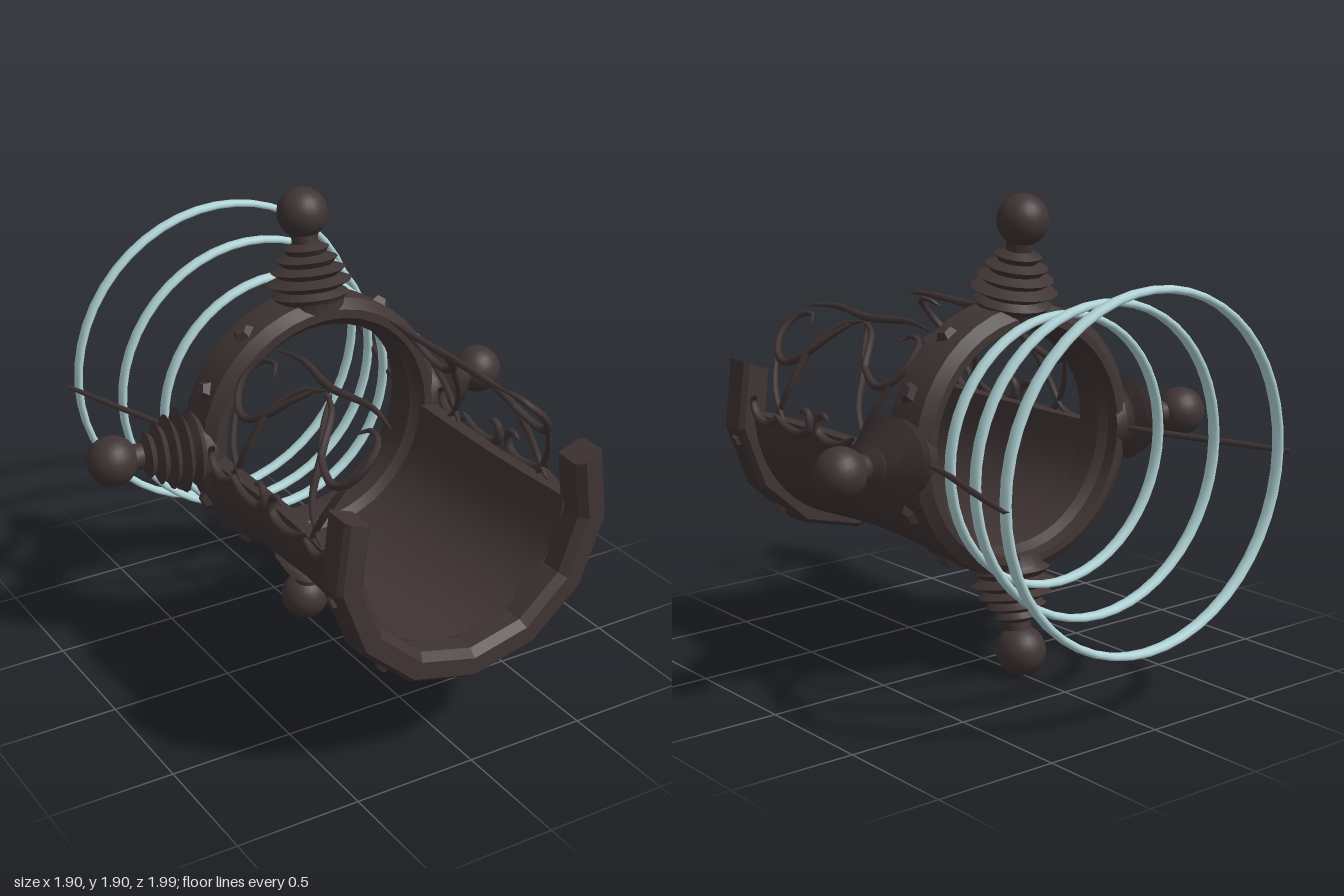
import * as THREE from 'three';
import { toCreasedNormals } from 'three/addons/utils/BufferGeometryUtils.js';

const CY = 0.95; // height of the main axis
const V2 = (p) => new THREE.Vector2(p[0], p[1]);

export function createModel() {
  const model = new THREE.Group();
  model.name = 'ornateCuff';
  const iron = new THREE.MeshStandardMaterial({ color: 0x403434 });
  iron.name = 'darkIron';
  const glass = new THREE.MeshStandardMaterial({ color: 0xb3d6d9 });
  glass.name = 'paleBlue';

  function add(geo, mat, name, parent = model) {
    const mesh = new THREE.Mesh(geo, mat);
    mesh.name = name;
    parent.add(mesh);
    return mesh;
  }

  // Sweep a closed counter-clockwise (radius, z) profile around the z axis, centred on the bottom
  function sweep(profile, half, segs, crease, mat, name) {
    const pts = [...profile, profile[0]].map(V2);
    const geo = new THREE.LatheGeometry(pts, segs, -half, half * 2);
    geo.rotateX(Math.PI / 2);
    const group = new THREE.Group();
    group.name = name;
    group.position.y = CY;
    model.add(group);
    add(toCreasedNormals(geo, crease), mat, name + 'Body', group);
    if (half > 3.1) return;
    for (const side of [-1, 1]) {
      const phi = side * half;
      const cap = new THREE.ShapeGeometry(new THREE.Shape(profile.map(V2)));
      if (side > 0) cap.index.array.reverse();
      const s = Math.sin(phi), c = Math.cos(phi);
      cap.applyMatrix4(new THREE.Matrix4().makeBasis(
        new THREE.Vector3(s, -c, 0), new THREE.Vector3(0, 0, 1), new THREE.Vector3(-c, -s, 0)));
      cap.computeVertexNormals();
      add(cap, mat, name + 'End', group);
    }
  }

  // Collar ring
  sweep([[0.485, -0.285], [0.53, -0.255], [0.537, -0.2], [0.537, -0.09], [0.5, -0.05], [0.465, -0.05],
    [0.45, -0.08], [0.425, -0.1], [0.425, -0.2], [0.45, -0.235], [0.455, -0.285]],
    Math.PI, 40, 0.5, iron, 'collar');

  // Half-round trough, slightly waisted
  sweep([[0.455, -0.07], [0.52, -0.07], [0.507, 0.15], [0.496, 0.42], [0.505, 0.65], [0.52, 0.88],
    [0.465, 0.88], [0.45, 0.65], [0.445, 0.42], [0.448, 0.15]],
    Math.PI / 2 - 0.02, 28, 0.5, iron, 'trough');

  // Faceted front lip
  sweep([[0.475, 0.86], [0.57, 0.86], [0.588, 0.88], [0.588, 0.98], [0.57, 1], [0.5, 1], [0.47, 0.97]],
    Math.PI / 2 + 0.36, 8, 0.3, iron, 'frontLip');

  // Rivets on the collar and lip; angle measured from +x
  function rivet(deg, r, z, size) {
    const a = THREE.MathUtils.degToRad(deg);
    const geo = new THREE.CylinderGeometry(size * 0.55, size, 0.035, 5).toNonIndexed();
    geo.computeVertexNormals();
    const m = add(geo, iron, 'rivet');
    m.position.set(Math.cos(a) * r, CY + Math.sin(a) * r, z);
    m.rotation.z = a - Math.PI / 2;
  }
  for (const a of [26, 55, 125, 154, 206, 235, 305, 334]) rivet(a, 0.543, -0.16, 0.052);
  for (const a of [-13, -52, -128, -167]) rivet(a, 0.575, 0.93, 0.04);

  // Four ribbed handles with ball ends, leaning backwards
  const ribs = [[0.13, -0.03], [0.135, 0.015], [0.152, 0.035], [0.12, 0.058], [0.168, 0.085], [0.115, 0.108],
    [0.148, 0.132], [0.1, 0.152], [0.122, 0.176], [0.075, 0.195], [0.092, 0.218], [0.052, 0.238], [0.052, 0.275]];
  for (let i = 0; i < 4; i++) {
    const spin = new THREE.Group();
    spin.name = 'handle';
    spin.position.y = CY;
    spin.rotation.z = i * Math.PI / 2;
    model.add(spin);
    const lean = new THREE.Group();
    lean.name = 'handleLean';
    lean.position.set(0, 0.5, -0.17);
    lean.rotation.x = -0.18;
    spin.add(lean);
    add(toCreasedNormals(new THREE.LatheGeometry(ribs.map(V2), 18), 0.6), iron, 'bellows', lean);
    add(new THREE.SphereGeometry(0.1, 24, 16), iron, 'ball', lean).position.y = 0.355;
  }

  // Rear hoops, flattened in section
  for (const [z, r] of [[-0.45, 0.533], [-0.685, 0.605], [-0.945, 0.683]]) {
    const hoop = add(new THREE.TorusGeometry(r - 0.015, 0.015, 8, 48), glass, 'hoop');
    hoop.scale.z = 1.85;
    hoop.position.set(0, CY, z);
  }

  // Tube through points, tapering to closed ends
  function strand(points, radius, name, segs = 20, taper = 0.35) {
    const geo = new THREE.TubeGeometry(new THREE.CatmullRomCurve3(points), segs, radius, 6);
    const pos = geo.attributes.position, v = new THREE.Vector3(), c = new THREE.Vector3();
    for (let i = 0; i <= segs; i++) {
      const k = Math.pow(Math.max(0, Math.sin(Math.PI * i / segs)), taper);
      geo.parameters.path.getPointAt(i / segs, c);
      for (let j = 0; j <= 6; j++) {
        const n = i * 7 + j;
        v.fromBufferAttribute(pos, n).sub(c).multiplyScalar(k).add(c);
        pos.setXYZ(n, v.x, v.y, v.z);
      }
    }
    add(geo, iron, name);
  }

  // Side rods carrying the hoops
  for (const s of [-1, 1]) {
    const path = [[0.49, -0.2], [0.505, -0.32], [0.537, -0.46], [0.615, -0.7], [0.69, -0.94], [0.7, -0.985], [0.685, -0.99]];
    strand(path.map(([x, z]) => new THREE.Vector3(s * x, 0.94, z)), 0.013, 'hoopRod', 30, 0.2);
  }

  // Scrollwork wrapped on the cylinder: [wrap radius, thickness, points (z offset, y)]
  const scrolls = [
    [0.497, 0.016, [[0, 1.36], [0.107, 1.33], [0.19, 1.235], [0.24, 1.075], [0.305, 0.96], [0.35, 0.93]]],
    [0.497, 0.016, [[0.03, 1.365], [0.12, 1.29], [0.21, 1.21], [0.32, 1.165], [0.39, 1.19], [0.44, 1.27],
      [0.41, 1.335], [0.33, 1.345], [0.29, 1.315]]],
    [0.5, 0.014, [[0.4, 1.2], [0.33, 1.05], [0.25, 0.92]]],
    [0.53, 0.02, [[0.42, 1.02], [0.44, 1.0], [0.41, 0.945], [0.35, 0.915], [0.26, 0.95]]],
    [0.53, 0.02, [[0.1, 1.0], [0.07, 1.02], [0.035, 1.005], [0.03, 0.955], [0.08, 0.92], [0.19, 0.925], [0.28, 0.97]]],
  ];
  const wrap = (side, r, u, y) =>
    new THREE.Vector3(side * Math.sqrt(r * r - (y - CY) ** 2), y, 0.41 + u);
  for (const side of [-1, 1]) {
    const rail = [[-0.43, 1.37], [-0.25, 1.385], [0, 1.372], [0.25, 1.385], [0.43, 1.37]];
    strand(rail.map(([u, y]) => wrap(side, 0.497, u, y)), 0.016, 'topRail', 30, 0.6);
    for (const [r, thick, pts] of scrolls)
      for (const dir of [-1, 1])
        strand(pts.map(([u, y]) => wrap(side, r, u * dir, y)), thick, 'scroll', 26);
  }
  return model;
}
